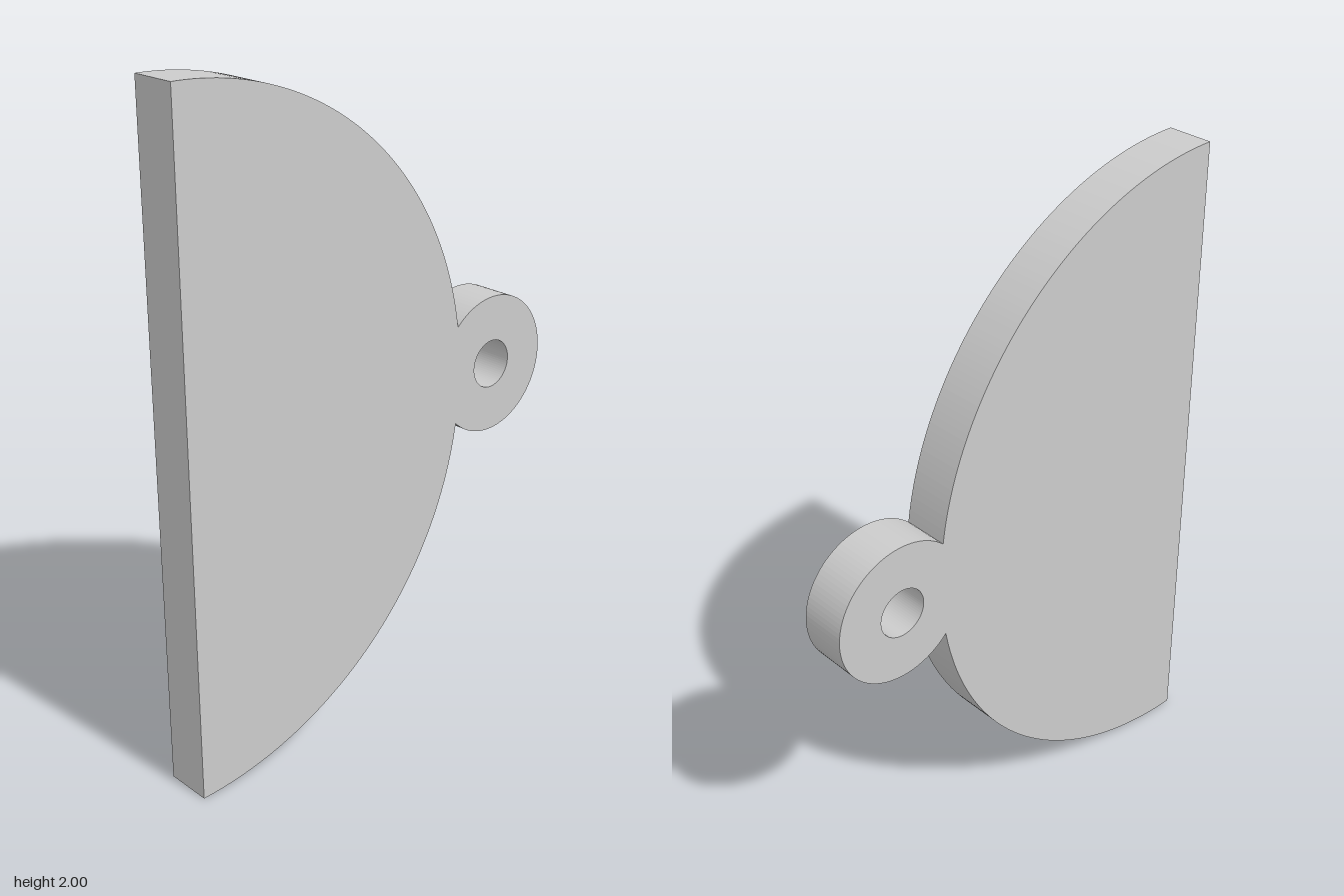
import * as THREE from 'three';

export function createModel() {
  const group = new THREE.Group();
  const material = new THREE.MeshStandardMaterial({ color: 0xcccccc });

  const depth = 0.142;
  const plateX = -0.675, plateR = 1;                   // half disc
  const lugX = 0.462, lugR = 0.213, holeR = 0.074;     // hanging eyelet

  // Angles at which the eyelet circle meets the half disc
  const d = lugX - plateX;
  const a = (d * d + plateR * plateR - lugR * lugR) / (2 * d);
  const h = Math.sqrt(plateR * plateR - a * a);
  const plateAngle = Math.atan2(h, a);
  const lugAngle = Math.atan2(h, a - d);

  // One outline: lower arc, around the eyelet, upper arc, straight back edge
  const outline = new THREE.Shape();
  outline.moveTo(plateX, -plateR);
  outline.absarc(plateX, 0, plateR, -Math.PI / 2, -plateAngle, false);
  outline.absarc(lugX, 0, lugR, -lugAngle, lugAngle, false);
  outline.absarc(plateX, 0, plateR, plateAngle, Math.PI / 2, false);
  outline.closePath();

  // Round hole through the eyelet
  const hole = new THREE.Path();
  hole.absarc(lugX, 0, holeR, 0, Math.PI * 2, true);
  outline.holes.push(hole);

  const geometry = new THREE.ExtrudeGeometry(outline, { depth, bevelEnabled: false, curveSegments: 36 });
  geometry.translate(0, 1, -depth / 2);

  const plate = new THREE.Mesh(geometry, material);
  plate.name = 'halfDiscPlateWithEyelet';
  group.add(plate);
  return group;
}
